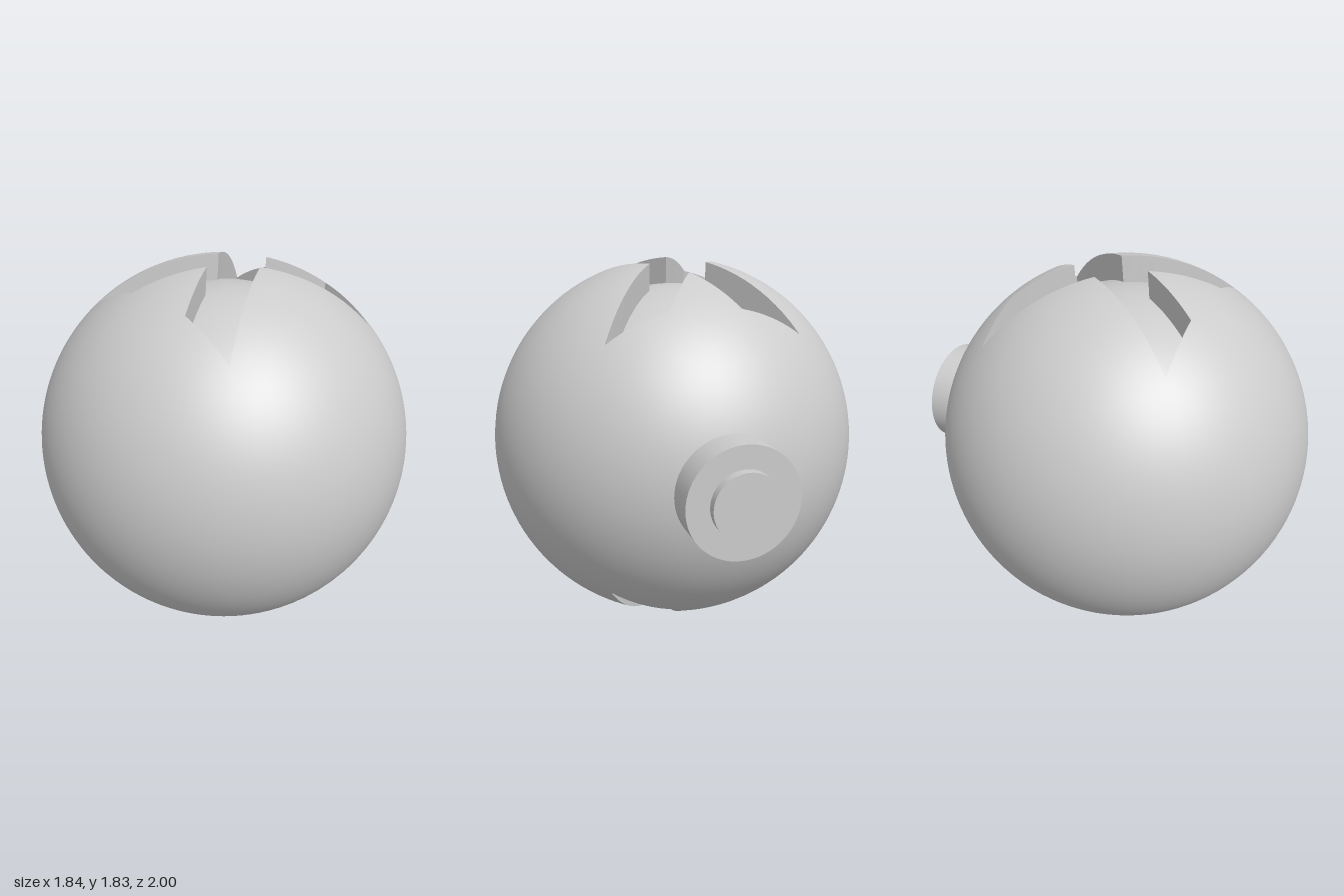
import * as THREE from 'three';

const R = 0.92;          // outer ball radius
const FLOOR = 0.79;      // radius of the recessed floor
const CZ = 0.08;         // ball centre along z
const STEPS = 12;        // samples per edge of the cross outline
const RINGS = 24;

const material = new THREE.MeshStandardMaterial({ color: 0xcccccc });

// Surface through a grid of points; point(i, j) returns a Vector3.
function gridSurface(cols, rows, point, flip) {
  const pos = [], idx = [];
  for (let i = 0; i <= cols; i++)
    for (let j = 0; j <= rows; j++) pos.push(...point(i, j).toArray());
  for (let i = 0; i < cols; i++)
    for (let j = 0; j < rows; j++) {
      const a = i * (rows + 1) + j, b = a + 1, d = a + rows + 1, c = d + 1;
      if (flip) idx.push(a, d, c, a, c, b);
      else idx.push(a, b, c, a, c, d);
    }
  const g = new THREE.BufferGeometry();
  g.setAttribute('position', new THREE.Float32BufferAttribute(pos, 3));
  g.setIndex(idx);
  return g;
}

// Cross-shaped outline (x, z), turning from the front towards +x and around.
function crossOutline() {
  const half = [[0, 0.18], [0.19, 0.47], [0.48, 0.48], [0.143, -0.02], [0.465, -0.44], [0.17, -0.45], [0, -0.2]];
  const mirrored = half.slice(0, -1).reverse().map(([x, z]) => [-x, z]);
  const corners = [...half, ...mirrored];
  const samples = [];
  const angle = (k) => {
    if (k === corners.length - 1) return Math.PI * 2;
    const a = Math.atan2(corners[k][0], corners[k][1] + 0.01);
    return a < -1e-6 ? a + Math.PI * 2 : Math.max(a, 0);
  };
  for (let k = 0; k < corners.length - 1; k++)
    for (let s = 0; s < STEPS; s++) {
      const t = s / STEPS, lerp = THREE.MathUtils.lerp;
      samples.push({
        x: lerp(corners[k][0], corners[k + 1][0], t),
        z: lerp(corners[k][1], corners[k + 1][1], t) - CZ,
        phi: lerp(angle(k), angle(k + 1), t),
      });
    }
  samples.push({ ...samples[0], phi: Math.PI * 2 });
  return samples;
}

// Half ball whose pole is opened by the cross, with the walls of the recess.
function createHalf(name) {
  const half = new THREE.Group();
  half.name = name;
  const outline = crossOutline();
  const n = outline.length - 1;
  const rim = (p) => new THREE.Vector3(p.x, Math.sqrt(R * R - p.x * p.x - p.z * p.z), p.z);

  const shell = gridSurface(n, RINGS, (i, j) => {
    const from = rim(outline[i]).normalize();
    const to = new THREE.Vector3(Math.sin(outline[i].phi), 0, Math.cos(outline[i].phi));
    const w = from.angleTo(to), t = j / RINGS;
    return from.multiplyScalar(Math.sin((1 - t) * w)).addScaledVector(to, Math.sin(t * w))
      .multiplyScalar(R / Math.sin(w));
  }, false);
  // on a ball the normal is the direction from its centre
  const normals = shell.attributes.position.clone();
  shell.setAttribute('normal', normals);
  shell.normalizeNormals();
  const shellMesh = new THREE.Mesh(shell, material);
  shellMesh.name = name + 'Shell';

  const walls = gridSurface(n, 1, (i, j) => {
    const p = outline[i];
    if (j === 0) return rim(p);
    const z = p.z + 0.012;
    return new THREE.Vector3(p.x, Math.sqrt(FLOOR * FLOOR - p.x * p.x - z * z) - 0.01, z);
  }, true).toNonIndexed();
  walls.computeVertexNormals();
  const wallMesh = new THREE.Mesh(walls, material);
  wallMesh.name = name + 'RecessWalls';

  half.add(shellMesh, wallMesh);
  return half;
}

// Round disc on the back, spanning z0 (inner) to z1 (outer).
function createDisc(name, radius, z0, z1) {
  const g = new THREE.CylinderGeometry(radius, radius, z0 - z1, 64);
  g.rotateX(-Math.PI / 2);
  const mesh = new THREE.Mesh(g, material);
  mesh.name = name;
  mesh.position.z = (z0 + z1) / 2 - CZ;
  return mesh;
}

export function createModel() {
  const model = new THREE.Group();
  model.name = 'ball';
  const body = new THREE.Group();
  body.name = 'body';
  body.position.set(0, R, CZ);

  const upper = createHalf('upperHalf');
  const lower = createHalf('lowerHalf');
  lower.rotation.z = Math.PI;

  const floor = new THREE.Mesh(new THREE.SphereGeometry(FLOOR, 80, 56), material);
  floor.name = 'recessFloor';

  body.add(upper, lower, floor,
    createDisc('backPlug', 0.26, -0.76, -0.957),
    createDisc('backButton', 0.153, -0.9, -1));
  model.add(body);
  return model;
}
